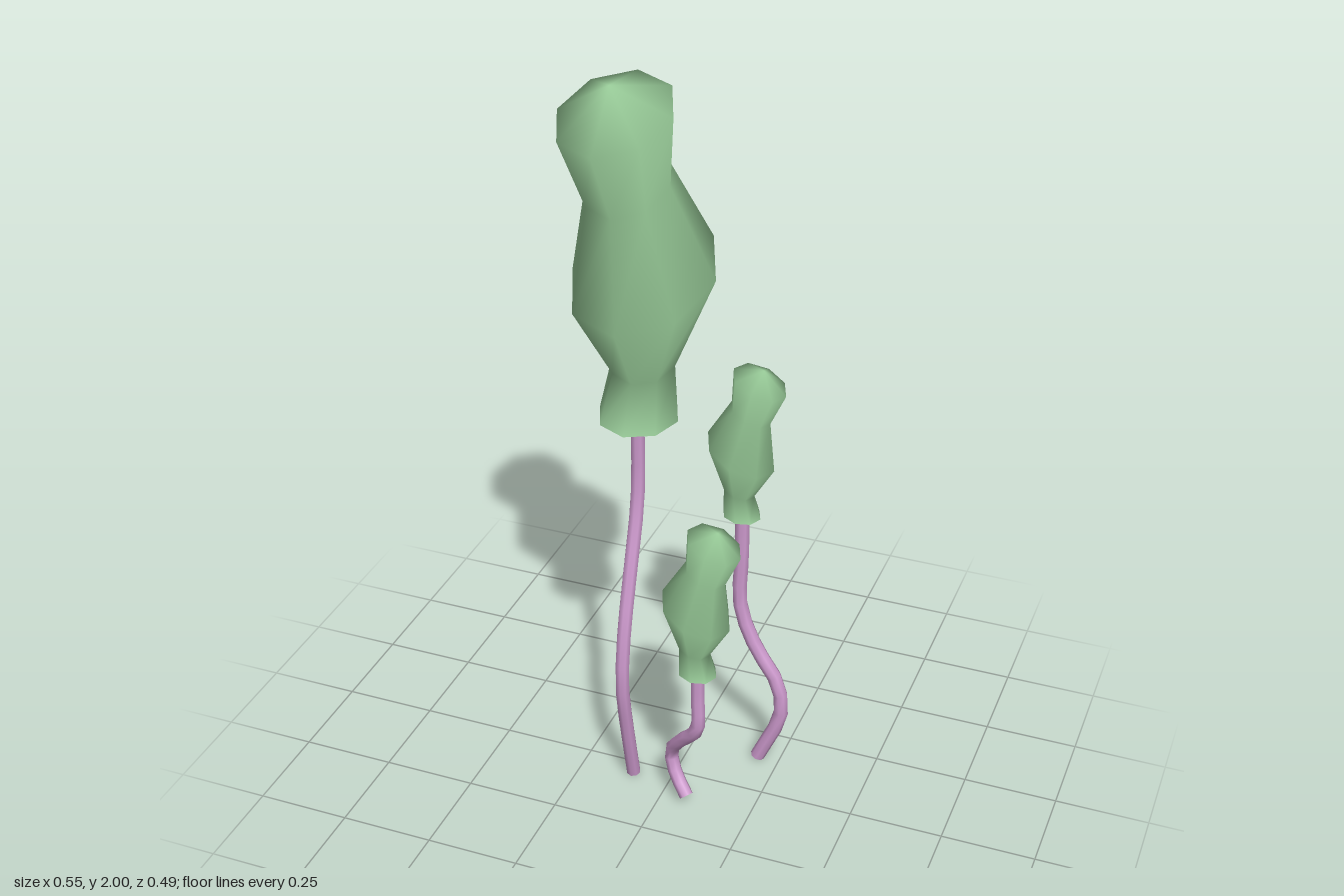
import * as THREE from 'three';
import { mergeVertices } from 'three/addons/utils/BufferGeometryUtils.js';

const SIDES = 8;
const green = new THREE.MeshStandardMaterial({ color: 0x99cc99, side: THREE.DoubleSide });
const pink = new THREE.MeshStandardMaterial({ color: 0xcc99cc });

// Bud cross-sections: centre x, y, z, radius, then rise per unit in x and drop per unit in z
const rings = [
  [0, 0, 0, 0.105, 0, 0.1],
  [0.005, 0.14, -0.022, 0.083, 0, 0.3],
  [0.01, 0.38, -0.014, 0.186, 0.08, 0.44],
  [-0.005, 0.635, 0.042, 0.107, 0.08, 0.44],
  [-0.015, 0.825, 0.09, 0.143, 0.06, 0.39],
];

// Lofted bud, open underneath, closed on top by a shallow pointed cap
function budGeometry() {
  const pos = [], index = [];
  for (const [cx, cy, cz, r, sx, sz] of rings) {
    for (let i = 0; i < SIDES; i++) {
      const a = (i / SIDES) * Math.PI * 2;
      const dx = Math.sin(a) * r, dz = Math.cos(a) * r;
      pos.push(cx + dx, cy + sx * dx - sz * dz, cz + dz);
    }
  }
  const apex = rings.length * SIDES;
  pos.push(-0.018, 0.9, 0.112);
  for (let k = 0; k < rings.length; k++) {
    for (let i = 0; i < SIDES; i++) {
      const a = k * SIDES + i, b = k * SIDES + ((i + 1) % SIDES);
      if (k === rings.length - 1) index.push(a, b, apex);
      else index.push(a, b, b + SIDES, a, b + SIDES, a + SIDES);
    }
  }
  const geo = new THREE.BufferGeometry();
  geo.setAttribute('position', new THREE.Float32BufferAttribute(pos, 3));
  geo.setIndex(index);
  geo.computeVertexNormals();
  return geo;
}

// Stem tube with a flat cap at each end
function stem(points, radius) {
  const curve = new THREE.CatmullRomCurve3(points.map((p) => new THREE.Vector3(...p)));
  const group = new THREE.Group();
  group.name = 'stem';
  const tube = new THREE.Mesh(new THREE.TubeGeometry(curve, 14, radius, SIDES), pink);
  tube.name = 'stemTube';
  group.add(tube);
  for (const t of [0, 1]) {
    const cap = new THREE.Mesh(new THREE.CircleGeometry(radius, SIDES), pink);
    const out = curve.getTangentAt(t).multiplyScalar(t ? 1 : -1);
    cap.position.copy(curve.getPointAt(t));
    cap.quaternion.setFromUnitVectors(new THREE.Vector3(0, 0, 1), out);
    cap.name = 'stemEnd';
    group.add(cap);
  }
  return group;
}

export function createModel() {
  const model = new THREE.Group();
  model.name = 'budCluster';
  const geo = mergeVertices(budGeometry());

  const plants = [
    { name: 'tallPlant', base: [-0.1, 1.1, -0.005], scale: 1, turn: 0, r: 0.019,
      path: [[-0.105, 1.12, -0.008], [-0.105, 0.86, -0.005], [-0.105, 0.65, 0.055],
        [-0.105, 0.49, 0.1], [-0.105, 0.34, 0.115], [-0.105, 0.175, 0.085], [-0.105, 0.005, 0.045]] },
    { name: 'frontPlant', base: [0.122, 0.478, 0.16], scale: 0.485, turn: Math.PI / 2, r: 0.019,
      path: [[0.122, 0.5, 0.157], [0.122, 0.4, 0.157], [0.12, 0.29, 0.155], [0.065, 0.215, 0.12],
        [0.022, 0.14, 0.085], [0.037, 0.08, 0.095], [0.078, 0.03, 0.12]] },
    { name: 'backPlant', base: [0.128, 0.774, -0.147], scale: 0.485, turn: Math.PI / 2, r: 0.02,
      path: [[0.13, 0.79, -0.147], [0.13, 0.65, -0.147], [0.13, 0.49, -0.145], [0.175, 0.37, -0.142],
        [0.238, 0.27, -0.14], [0.253, 0.17, -0.14], [0.19, 0.008, -0.139]] },
  ];

  for (const { name, base, scale, turn, r, path } of plants) {
    const plant = new THREE.Group();
    plant.name = name;
    const bud = new THREE.Mesh(geo, green);
    bud.name = 'bud';
    bud.position.set(...base);
    bud.rotation.y = turn;
    bud.scale.setScalar(scale);
    plant.add(bud, stem(path, r));
    model.add(plant);
  }
  return model;
}
